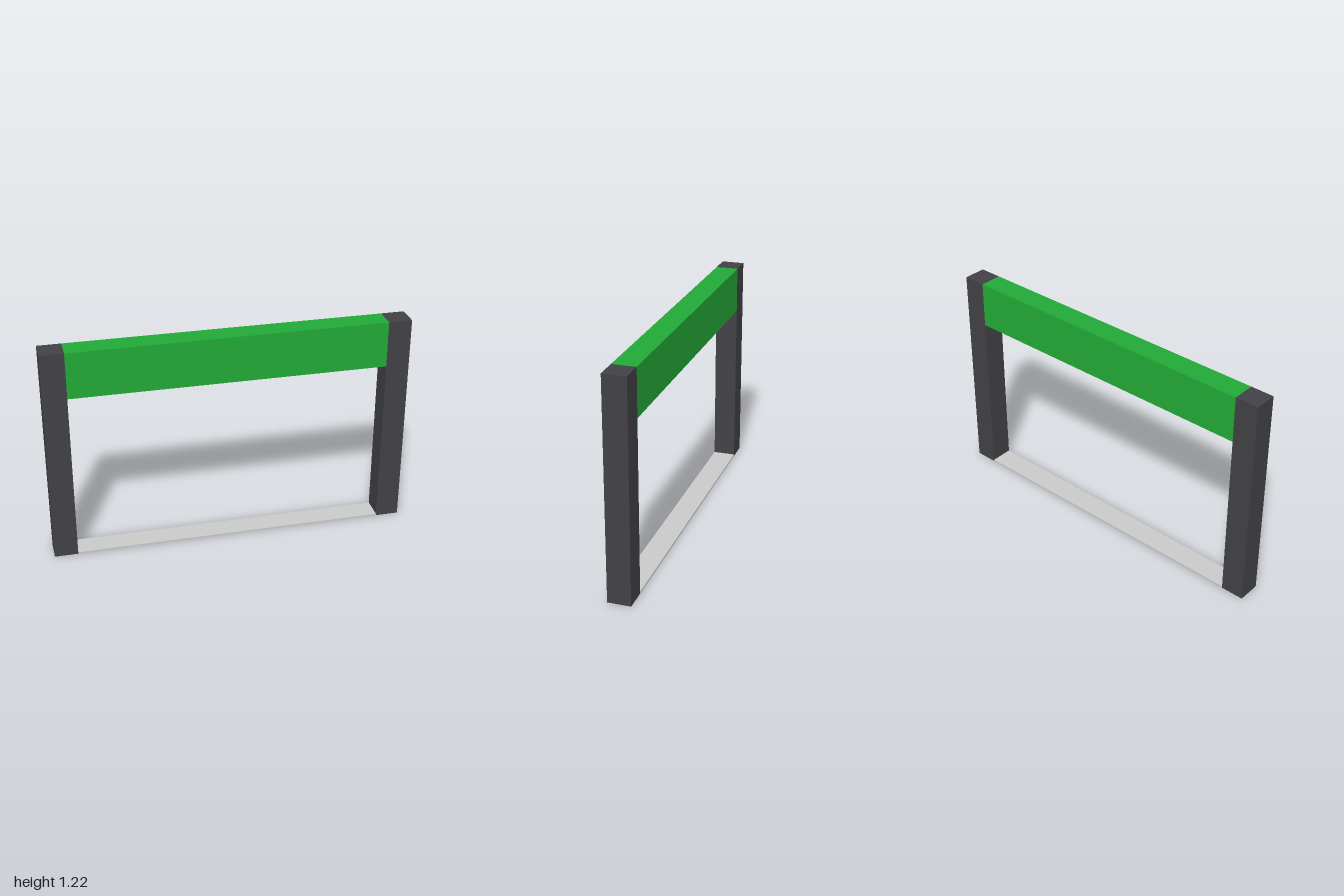
import * as THREE from 'three';

const WIDTH = 2, HEIGHT = 1.22, DEPTH = 0.128, POST = 0.13;
const SPAN = WIDTH - 2 * POST;

function material(name, color) {
  const m = new THREE.MeshStandardMaterial({ color });
  m.name = name;
  return m;
}

// Box standing on the given base height
function block(name, mat, w, h, x, base) {
  const mesh = new THREE.Mesh(new THREE.BoxGeometry(w, h, DEPTH), mat);
  mesh.name = name;
  mesh.position.set(x, base + h / 2, 0);
  return mesh;
}

export function createModel() {
  const group = new THREE.Group();
  group.name = 'gateFrame';
  const charcoal = material('charcoal', 0x424145);
  const green = material('green', 0x22aa37);
  const lightGrey = material('lightGrey', 0xcacaca);

  // Upright posts
  for (const [side, name] of [[1, 'leftPost'], [-1, 'rightPost']]) {
    group.add(block(name, charcoal, POST, HEIGHT, side * (WIDTH - POST) / 2, 0));
  }

  // Header beam between the post tops
  group.add(block('headerBeam', green, SPAN, 0.26, 0, HEIGHT - 0.26));

  // Thin threshold plate on the ground
  group.add(block('threshold', lightGrey, SPAN, 0.01, 0, 0));

  return group;
}
